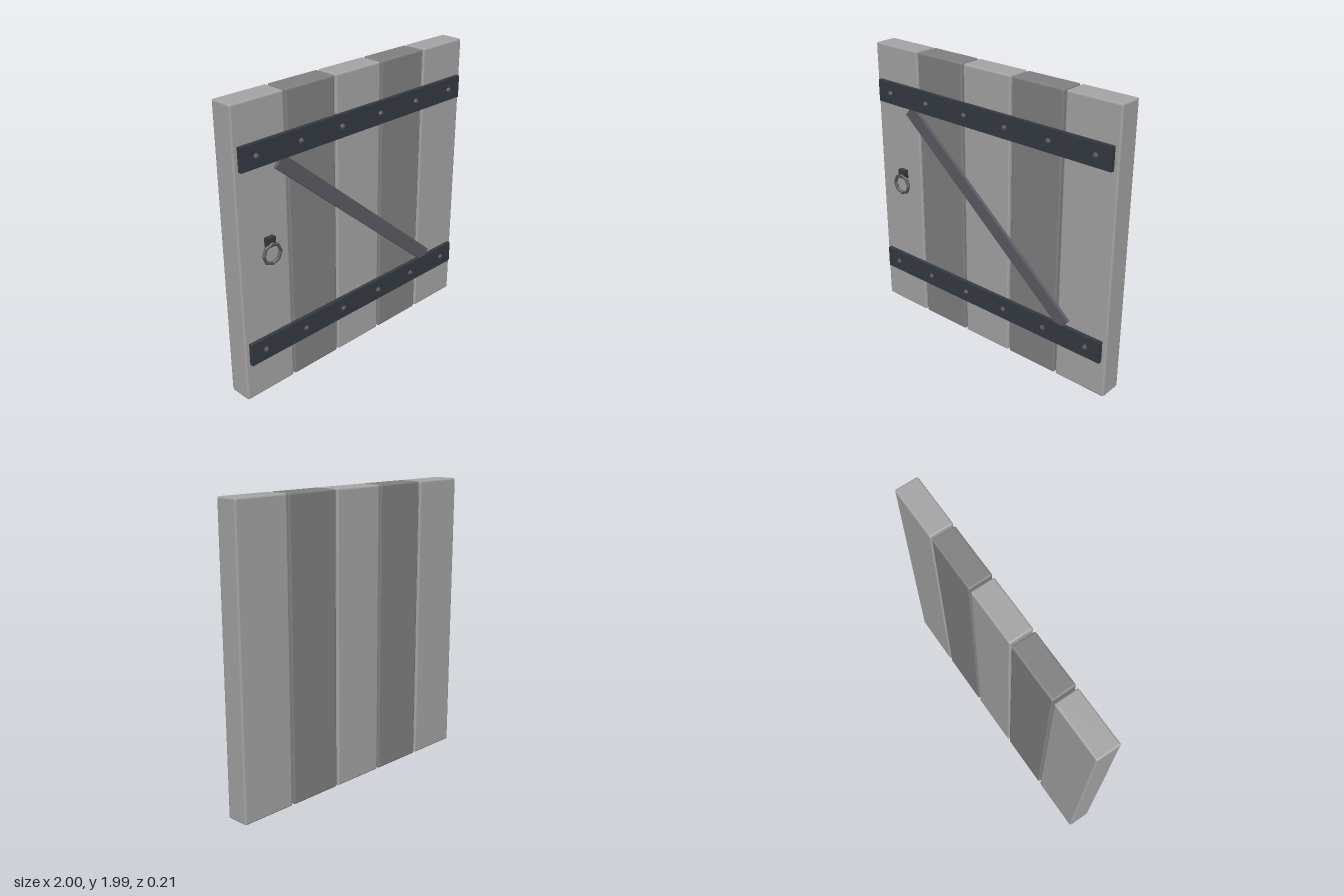
import * as THREE from 'three';
import { RoundedBoxGeometry } from 'three/addons/geometries/RoundedBoxGeometry.js';

const material = (name, color) => {
  const m = new THREE.MeshStandardMaterial({ color, flatShading: true });
  m.name = name;
  return m;
};

export function createModel() {
  const door = new THREE.Group();
  door.name = 'plankDoor';

  const lightWood = material('light plank', 0xa6a6a6);
  const darkWood = material('dark plank', 0x818181);
  const iron = material('dark iron', 0x343b42);
  const braceWood = material('brace', 0x5d5b63);
  const steel = material('steel', 0x58585b);

  const add = (name, geometry, mat, x, y, z, parent = door) => {
    const mesh = new THREE.Mesh(geometry, mat);
    mesh.name = name;
    mesh.position.set(x, y, z);
    parent.add(mesh);
    return mesh;
  };

  // Five upright planks with chamfered edges, alternating in shade
  const height = 1.985, pitch = 0.403;
  const plank = new RoundedBoxGeometry(0.388, height, 0.163, 1, 0.01);
  for (let i = 0; i < 5; i++) {
    add('plank', plank, i % 2 ? darkWood : lightWood, (i - 2) * pitch, height / 2, -0.0195);
  }

  // Two iron straps, each held by six domed rivets
  const strap = new THREE.BoxGeometry(1.936, 0.155, 0.028);
  const rivet = new THREE.SphereGeometry(0.019, 6, 4);
  for (const y of [0.34, 1.657]) {
    const group = new THREE.Group();
    group.name = 'strapWithRivets';
    group.position.y = y;
    door.add(group);
    add('strap', strap, iron, 0, 0, 0.075, group);
    for (let i = 0; i < 6; i++) {
      add('rivet', rivet, steel, (i - 2.5) * 0.342, -0.002, 0.089, group);
    }
  }

  // Diagonal brace, tucked just behind the strap faces
  const brace = add('brace', new THREE.BoxGeometry(1.78, 0.097, 0.026), braceWood, 0, 0.997, 0.073);
  brace.rotation.z = -THREE.MathUtils.degToRad(40.2);

  // Pull ring hanging from a small plate
  const handle = new THREE.Group();
  handle.name = 'handle';
  handle.position.set(-0.776, 0.998, 0);
  door.add(handle);
  add('handlePlate', new THREE.BoxGeometry(0.063, 0.062, 0.036), iron, 0, 0.077, 0.079, handle);
  add('pullRing', new THREE.TorusGeometry(0.067, 0.012, 6, 8), steel, 0, 0, 0.096, handle);

  return door;
}
